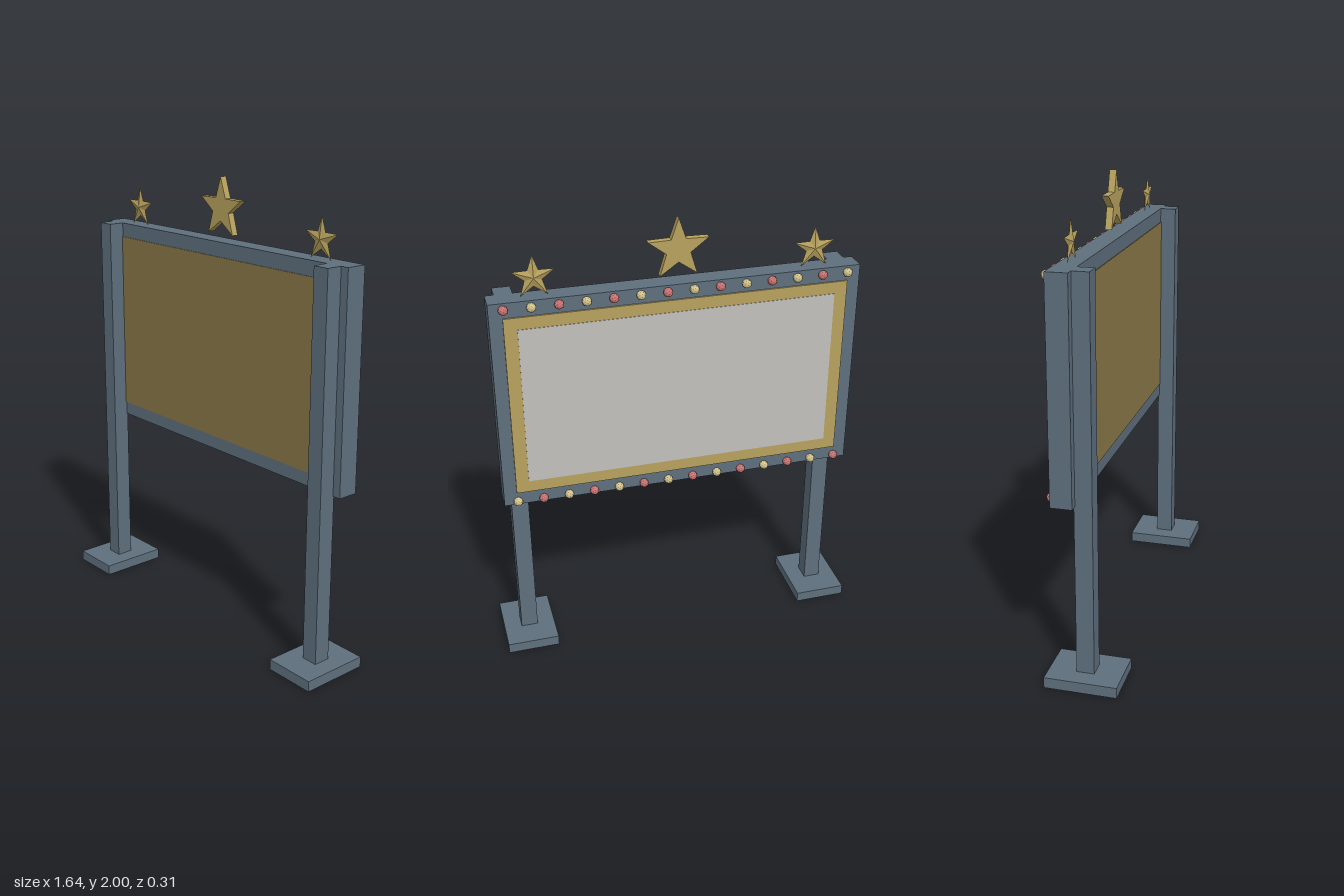
import * as THREE from 'three';

export function createModel() {
  const model = new THREE.Group();
  const material = (name, color, options = {}) => {
    const m = new THREE.MeshStandardMaterial({ color, ...options });
    m.name = name;
    return m;
  };
  const steel = material('slate steel', 0x5e6f7d);
  const gold = material('gold', 0xb8a25e);
  const darkGold = material('dark gold', 0x8a7848);
  const paper = material('pale grey', 0xc3c1bc);
  const red = material('red bulb', 0xc87472, { flatShading: true });
  const cream = material('cream bulb', 0xd3c38c, { flatShading: true });

  const add = (name, geometry, mat, x, y, z) => {
    const mesh = new THREE.Mesh(geometry, mat);
    mesh.name = name;
    mesh.position.set(x, y, z);
    model.add(mesh);
    return mesh;
  };
  const box = (name, mat, w, h, d, x, y, z) =>
    add(name, new THREE.BoxGeometry(w, h, d), mat, x, y, z);

  // Points around a five-pointed star, tip upwards
  const starPoints = (radius) => Array.from({ length: 10 }, (_, i) => {
    const r = i % 2 ? radius * 0.4 : radius;
    const a = Math.PI / 2 + (i * Math.PI) / 5;
    return new THREE.Vector2(r * Math.cos(a), r * Math.sin(a));
  });

  // Star that swells to a point at the centre of each face
  const facetedStar = (radius, halfDepth) => {
    const pts = starPoints(radius);
    const pos = [];
    pts.forEach((p, i) => {
      const q = pts[(i + 1) % pts.length];
      pos.push(0, 0, halfDepth, p.x, p.y, 0, q.x, q.y, 0);
      pos.push(0, 0, -halfDepth, q.x, q.y, 0, p.x, p.y, 0);
    });
    const g = new THREE.BufferGeometry();
    g.setAttribute('position', new THREE.Float32BufferAttribute(pos, 3));
    g.computeVertexNormals();
    return g;
  };

  // Feet, posts and small side stars
  for (const side of [-1, 1]) {
    const label = side > 0 ? 'left' : 'right';
    box(label + 'Foot', steel, 0.232, 0.047, 0.31, side * 0.705, 0.0235, 0);
    box(label + 'Post', steel, 0.075, 1.69, 0.076, side * 0.705, 0.885, 0);
    add(label + 'Star', facetedStar(0.094, 0.012), gold, side * 0.588, 1.807, -0.08);
  }

  // Board body with its thin panels
  box('boardFrame', steel, 1.56, 0.94, 0.092, 0, 1.26, -0.079);
  box('frontPanel', darkGold, 1.45, 0.815, 0.005, 0, 1.258, -0.032);
  box('goldBorder', gold, 1.45, 0.815, 0.008, 0, 1.258, -0.128);
  box('displaySheet', paper, 1.34, 0.71, 0.004, 0, 1.258, -0.132);

  // Flat centre star
  const centreStar = new THREE.ExtrudeGeometry(new THREE.Shape(starPoints(0.133)), {
    depth: 0.03, bevelEnabled: false,
  });
  add('centreStar', centreStar, gold, 0, 1.866, -0.095);

  // Alternating bulbs along the top and bottom rails
  const bulb = new THREE.IcosahedronGeometry(0.02, 1);
  [1.705, 0.81].forEach((y, row) => {
    for (let i = 0; i < 14; i++) {
      const x = -0.722 + (i * 1.444) / 13;
      add(row ? 'bottomBulb' : 'topBulb', bulb, (i + row) % 2 ? red : cream, x, y, -0.136);
    }
  });

  return model;
}
